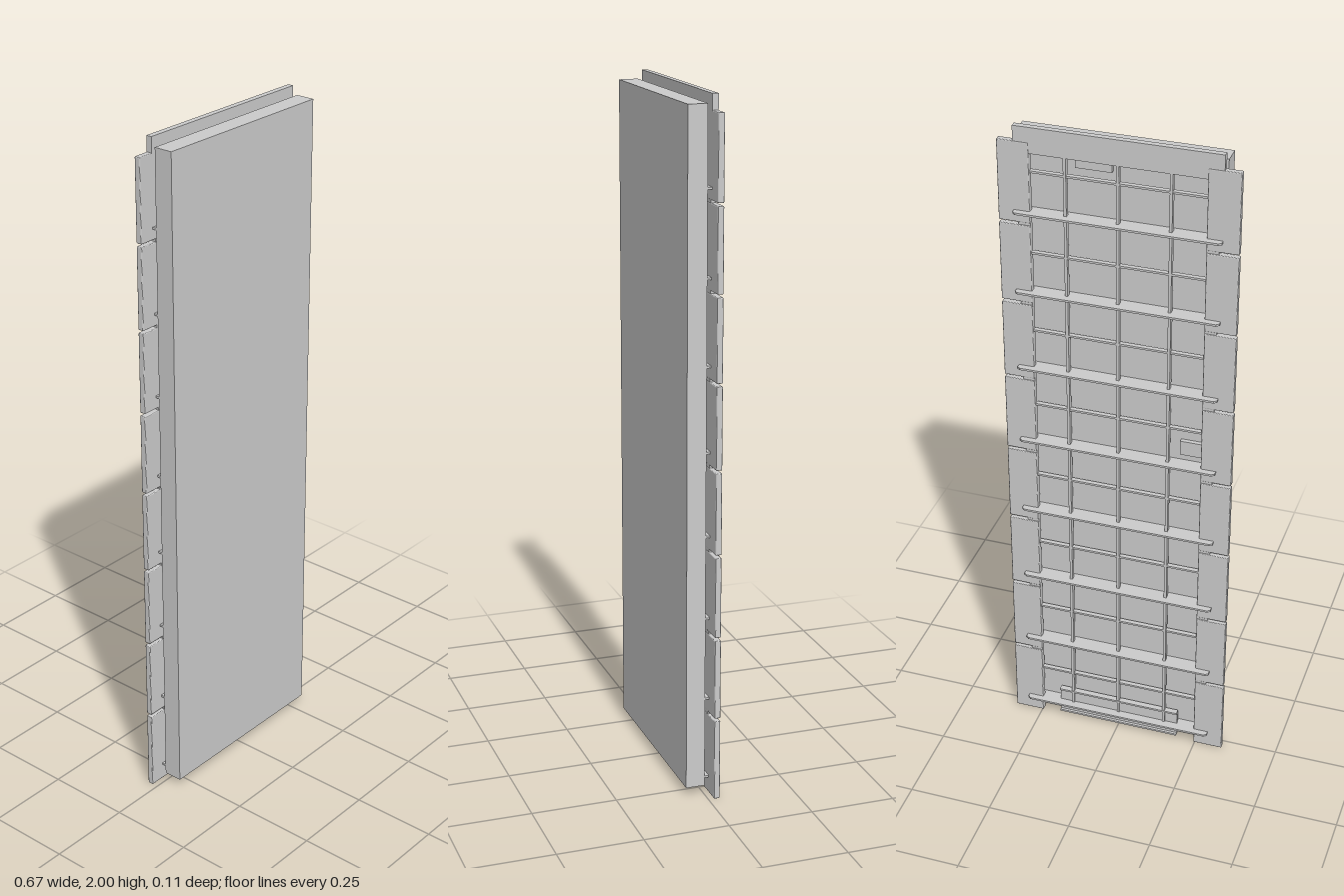
import * as THREE from 'three';
import { RoundedBoxGeometry } from 'three/addons/geometries/RoundedBoxGeometry.js';

const material = new THREE.MeshStandardMaterial({ color: 0xcccccc, flatShading: true });

export function createModel() {
  const group = new THREE.Group();

  const add = (name, geometry, x = 0, y = 0, z = 0) => {
    const mesh = new THREE.Mesh(geometry, material);
    mesh.name = name;
    mesh.position.set(x, y, z);
    group.add(mesh);
    return mesh;
  };
  // Box given by its limits on each axis
  const box = (name, x0, x1, y0, y1, z0, z1) =>
    add(name, new THREE.BoxGeometry(x1 - x0, y1 - y0, z1 - z0),
      (x0 + x1) / 2, (y0 + y1) / 2, (z0 + z1) / 2);

  const back = -0.034, front = -0.016; // depth of the rear frame
  const pitch = 0.245, count = 8;

  // Thick front slab
  box('frontSlab', -0.292, 0.292, 0.025, 1.975, -0.003, 0.053);

  // Side rails: eight rounded segments with narrow gaps, joined by an inner strip
  for (const side of [-1, 1]) {
    for (let i = 0; i < count; i++) {
      const y0 = i * pitch + (i ? 0.004 : 0);
      const y1 = (i + 1) * pitch - 0.004;
      const segment = new RoundedBoxGeometry(0.09, y1 - y0, front - back, 2, 0.003);
      add('railSegment', segment, side * 0.291, (y0 + y1) / 2, (back + front) / 2);
    }
    const strip = box('railInnerStrip', 0.246, 0.28, 0.01, 1.955, back + 0.003, front - 0.001);
    strip.position.x *= side;
  }

  // Top beam, narrower than the rails
  box('topBeam', -0.29, 0.29, 1.925, 2, back + 0.001, front);

  // Upright grid bars
  for (const x of [-0.147, 0, 0.147]) {
    box('uprightBar', x - 0.004, x + 0.004, 0.03, 1.93, back + 0.003, front);
  }

  // Horizontal grid bars, midway between the slats
  for (let i = 0; i < count; i++) {
    const y = 0.17 + i * 0.243;
    box('crossBar', -0.25, 0.25, y - 0.003, y + 0.003, back + 0.004, front);
  }

  // Thin slats with clipped rear corners, reaching from the slab through the frame
  const outline = new THREE.Shape([
    [-0.291, -0.003], [0.291, -0.003], [0.291, -0.046],
    [0.283, -0.053], [-0.283, -0.053], [-0.291, -0.046],
  ].map(([x, z]) => new THREE.Vector2(x, -z)));
  const slat = new THREE.ExtrudeGeometry(outline, { depth: 0.006, bevelEnabled: false });
  slat.rotateX(-Math.PI / 2);
  for (let i = 0; i < count; i++) add('slat', slat, 0, 0.048 + i * 0.243, 0);

  // Bottom plate with ledges
  box('bottomPlate', -0.19, 0.19, 0.01, 0.1, -0.026, front);
  for (const y of [0.01, 0.094]) {
    box('bottomLedge', -0.19, 0.19, y, y + 0.006, back, -0.02);
  }

  // Small blocks on the back of the slab
  box('upperBlock', 0.02, 0.122, 1.895, 1.925, -0.016, -0.003);
  box('sideBlock', -0.245, -0.18, 1.05, 1.095, -0.016, -0.003);

  return group;
}
